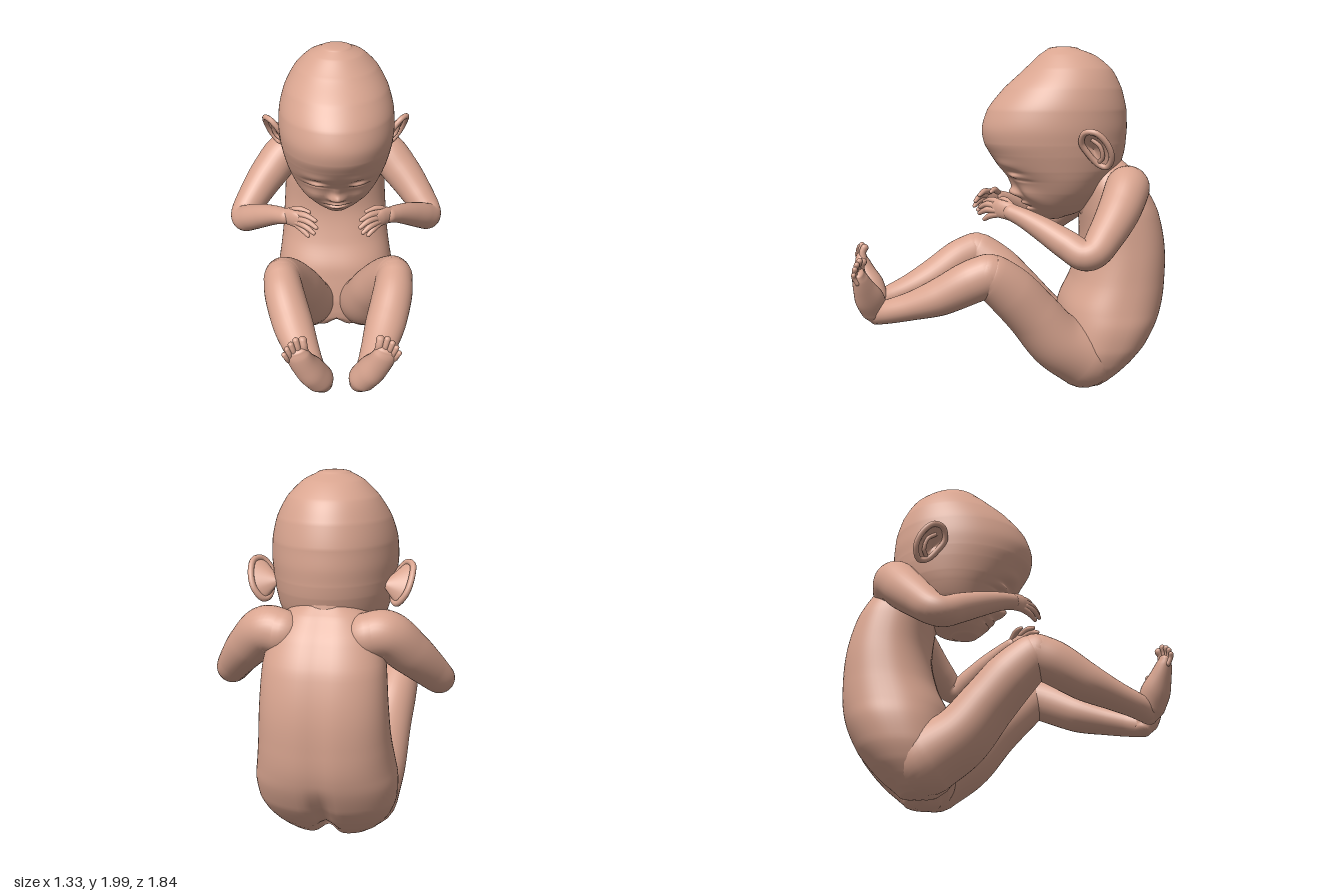
import * as THREE from 'three';

const X = [1, 0, 0], Y = [0, 1, 0], Z = [0, 0, 1];
const skin = new THREE.MeshStandardMaterial({ color: 0xd9a590 });
skin.name = 'skin';

// Smooth closed-ring surface through rows of points
function skinRows(rows) {
  const n = rows[0].length, index = [];
  for (let i = 0; i < rows.length - 1; i++) {
    for (let j = 0; j < n; j++) {
      const a = i * n + j, b = i * n + (j + 1) % n;
      index.push(a, b, a + n, b, b + n, a + n);
    }
  }
  const g = new THREE.BufferGeometry().setFromPoints(rows.flat());
  g.setIndex(index);
  g.computeVertexNormals();
  return g;
}

// Loft through sections [x, y, z, halfWidth, halfDepth] with rounded ends.
// ref: direction of the width; level: keep all rings horizontal; p < 1: boxier rings
function loft(sections, { s = 1, ref = X, level = false, cap = 1, p = 1, steps = 6, sides = 24, deform } = {}) {
  const path = new THREE.CatmullRomCurve3(sections.map(c => new THREE.Vector3(c[0] * s, c[1], c[2])));
  const size = new THREE.CatmullRomCurve3(sections.map(c => new THREE.Vector3(c[3], c[4] ?? c[3], 0)));
  const rows = [], count = (sections.length - 1) * steps;
  const pow = v => Math.sign(v) * Math.abs(v) ** p;
  const ring = (t, scale, shift) => {
    const P = path.getPoint(t), R = size.getPoint(t);
    const T = level ? new THREE.Vector3(0, 1, 0) : path.getTangent(t);
    if (level && sections[0][1] > sections.at(-1)[1]) T.negate();
    const S = new THREE.Vector3(ref[0] * s, ref[1], ref[2]);
    S.addScaledVector(T, -S.dot(T)).normalize();
    const D = new THREE.Vector3().crossVectors(T, S);
    P.addScaledVector(T, shift * cap * Math.min(R.x, R.y));
    const row = [];
    for (let j = 0; j < sides; j++) {
      const a = j / sides * Math.PI * 2;
      const v = P.clone().addScaledVector(S, pow(Math.cos(a)) * R.x * scale)
        .addScaledVector(D, pow(Math.sin(a)) * R.y * scale);
      if (deform) deform(v);
      row.push(v);
    }
    rows.push(row);
  };
  for (let k = 6; k > 0; k--) ring(0, Math.cos(k * Math.PI / 12) + 1e-4, -Math.sin(k * Math.PI / 12));
  for (let i = 0; i <= count; i++) ring(i / count, 1, 0);
  for (let k = 1; k <= 6; k++) ring(1, Math.cos(k * Math.PI / 12) + 1e-4, Math.sin(k * Math.PI / 12));
  return skinRows(rows);
}

// Horizontal slices [y, zFront, zBack, halfWidth] turned into loft sections
const slices = list => list.map(([y, f, b, w]) => [0, y, (f + b) / 2, w, (f - b) / 2]);

// Face relief, mirrored in x: [x, y, spreadX, spreadY, push]
const relief = [
  [0, 1.155, .035, .03, .055], [0, 1.21, .025, .05, .02], [.035, 1.145, .018, .018, .02],
  [.13, 1.33, .08, .03, .01], [.12, 1.287, .06, .018, -.02], [.13, 1.264, .055, .022, .02],
  [.13, 1.243, .06, .008, -.014], [.14, 1.15, .06, .05, .02],
  [0, 1.094, .055, .013, .024], [0, 1.058, .045, .014, .022], [0, 1.077, .075, .007, -.016],
];
function faceRelief(v) {
  if (v.z < -.3) return;
  let push = 0;
  for (const [x, y, sx, sy, a] of relief) {
    push += a * Math.exp(-(((Math.abs(v.x) - x) / sx) ** 2) - ((v.y - y) / sy) ** 2);
  }
  v.z += push * Math.min(1, (v.z + .3) / .12);
}

// Spine groove and the cleft of the seat
function backRelief(v) {
  const low = THREE.MathUtils.smoothstep(.45 - v.y, 0, .25);
  const back = THREE.MathUtils.smoothstep(-v.z, .5, .65);
  v.z += back * (.012 * Math.exp(-((v.x / .06) ** 2)) + .05 * low * Math.exp(-((v.x / .045) ** 2)));
  v.y += .045 * Math.exp(-((v.x / .05) ** 2)) * THREE.MathUtils.smoothstep(.15 - v.y, 0, .1);
}

// Ear: bowl from the concha out over the edge and back into the head
const earEdge = [[.345, 1.47, -.35], [.39, 1.525, -.36], [.425, 1.525, -.41], [.425, 1.465, -.475],
  [.4, 1.39, -.508], [.355, 1.335, -.495], [.33, 1.345, -.455], [.33, 1.41, -.39]];
function earParts(s) {
  const at = c => new THREE.Vector3(c[0] * s, c[1], c[2]);
  const curve = new THREE.CatmullRomCurve3(earEdge.map(at), true);
  const edge = curve.getPoints(48).slice(0, 48);
  if (s < 0) edge.reverse();
  const front = at([.318, 1.43, -.425]), back = at([.27, 1.43, -.46]);
  const rows = [];
  for (let k = 0; k <= 6; k++) rows.push(edge.map(e => front.clone().lerp(e, Math.max(.001, Math.sqrt(k / 6)))));
  for (let k = 1; k <= 6; k++) rows.push(edge.map(e => e.clone().lerp(back, k / 6.01)));
  const fold = new THREE.CatmullRomCurve3(
    [[.37, 1.49, -.4], [.385, 1.45, -.445], [.37, 1.39, -.465], [.335, 1.36, -.455]].map(at));
  return {
    earBowl: skinRows(rows),
    earRim: new THREE.TubeGeometry(curve, 64, .017, 10, true),
    earFold: new THREE.TubeGeometry(fold, 20, .012, 8),
  };
}

export function createModel() {
  const model = new THREE.Group();
  model.name = 'curledBaby';
  const add = (name, geometry, parent = model) => {
    const mesh = new THREE.Mesh(geometry, skin);
    mesh.name = name;
    parent.add(mesh);
  };

  add('head', loft(slices([
    [1.01, -.17, -.33, .075], [1.04, -.14, -.42, .135], [1.1, -.095, -.48, .2], [1.17, -.055, -.55, .25],
    [1.24, -.01, -.6, .282], [1.3, .05, -.65, .302], [1.385, .11, -.68, .322], [1.45, .145, -.69, .333],
    [1.53, .157, -.695, .34], [1.64, .125, -.69, .335], [1.76, .03, -.66, .303], [1.87, -.09, -.6, .24],
    [1.95, -.175, -.5, .158], [1.984, -.225, -.41, .09],
  ]), { level: true, cap: .17, steps: 12, sides: 96, deform: faceRelief }));

  add('neck', loft([[0, 1.1, -.58, .19, .17], [0, 1.25, -.54, .18, .15], [0, 1.42, -.5, .17, .16]]));

  add('torso', loft(slices([
    [.025, -.36, -.58, .23], [.05, -.32, -.61, .27], [.1, -.29, -.67, .31], [.17, -.28, -.74, .35],
    [.27, -.28, -.82, .38], [.4, -.3, -.885, .385], [.5, -.32, -.915, .37], [.65, -.39, -.93, .35],
    [.85, -.44, -.925, .335], [1.05, -.43, -.88, .32], [1.2, -.42, -.8, .28], [1.3, -.43, -.72, .21],
    [1.35, -.46, -.67, .13],
  ]), { level: true, cap: .2, p: .86, steps: 6, sides: 72, deform: backRelief }));

  for (const s of [1, -1]) {
    const side = s > 0 ? 'left' : 'right';
    const part = name => {
      const g = new THREE.Group();
      g.name = side + name;
      model.add(g);
      return g;
    };

    const ear = part('Ear');
    for (const [name, g] of Object.entries(earParts(s))) add(name, g, ear);

    // Arm: one bent tube from shoulder over elbow to wrist
    const arm = part('Arm');
    add('upperArmAndForearm', loft([
      [.22, 1.2, -.65, .12], [.31, 1.205, -.625, .125], [.42, 1.1, -.55, .118], [.52, .98, -.45, .1],
      [.578, .9, -.37, .086], [.575, .888, -.32, .083], [.52, .935, -.24, .08], [.43, 1.005, -.13, .068],
      [.35, 1.06, -.03, .053], [.3, 1.085, .03, .046],
    ], { s, ref: [.55, .75, .35], steps: 8, sides: 32 }), arm);
    add('palm', loft([[.33, 1.07, -.01, .045, .04], [.285, 1.09, .045, .05, .032],
      [.25, 1.098, .085, .052, .027], [.225, 1.098, .11, .045, .02]], { s, ref: Y }), arm);
    const fingers = [
      [[.28, 1.12, .03], [.225, 1.145, .055], [.165, 1.14, .085]],
      [[.24, 1.13, .085], [.185, 1.14, .125], [.13, 1.125, .16]],
      [[.235, 1.11, .1], [.175, 1.115, .15], [.125, 1.092, .185]],
      [[.235, 1.088, .105], [.185, 1.085, .155], [.14, 1.06, .19]],
      [[.24, 1.068, .095], [.205, 1.055, .135], [.172, 1.03, .165]],
    ];
    fingers.forEach((f, i) => add(i ? 'finger' + i : 'thumb', loft(
      f.map((c, k) => [...c, [.02, .018, .012][k]]), { s, ref: Y, steps: 5, sides: 12 }), arm));

    // Leg: thigh, bent knee and shin
    const leg = part('Leg');
    add('thigh', loft([
      [.19, .2, -.42, .185, .19], [.215, .31, -.25, .185, .17], [.25, .485, -.1, .165, .153],
      [.295, .63, .03, .138, .145], [.325, .725, .14, .115, .128], [.33, .74, .17, .108, .122],
    ], { s, steps: 8, sides: 40 }), leg);
    add('shin', loft([
      [.33, .738, .165, .108, .122], [.315, .7, .26, .115, .122], [.265, .61, .43, .115, .106],
      [.21, .548, .59, .095, .08], [.165, .512, .7, .078, .07], [.125, .49, .765, .065, .065],
    ], { s, steps: 8, sides: 32 }), leg);

    // Foot with the sole turned forward
    add('foot', loft([
      [.095, .455, .775, .052, .05], [.115, .51, .795, .076, .078], [.155, .58, .82, .077, .082],
      [.2, .665, .852, .07, .06], [.225, .725, .87, .064, .043], [.236, .755, .875, .055, .03],
    ], { s, cap: .6, sides: 28 }), leg);
    const toes = [[.19, .735, .86, .2, .832, .852, .023], [.217, .735, .868, .234, .838, .868, .017],
      [.24, .73, .875, .259, .822, .883, .016], [.26, .72, .88, .279, .8, .893, .015],
      [.275, .705, .882, .294, .77, .9, .014]];
    toes.forEach(([x, y, z, tx, ty, tz, r], i) => add('toe' + (i + 1), loft([
      [x, y, z, r], [(x + tx) / 2, (y + ty) / 2, (z + tz) / 2 + .008, r * .9], [tx, ty - r, tz, r],
    ], { s, ref: X, steps: 4, sides: 12 }), leg));
  }
  return model;
}
